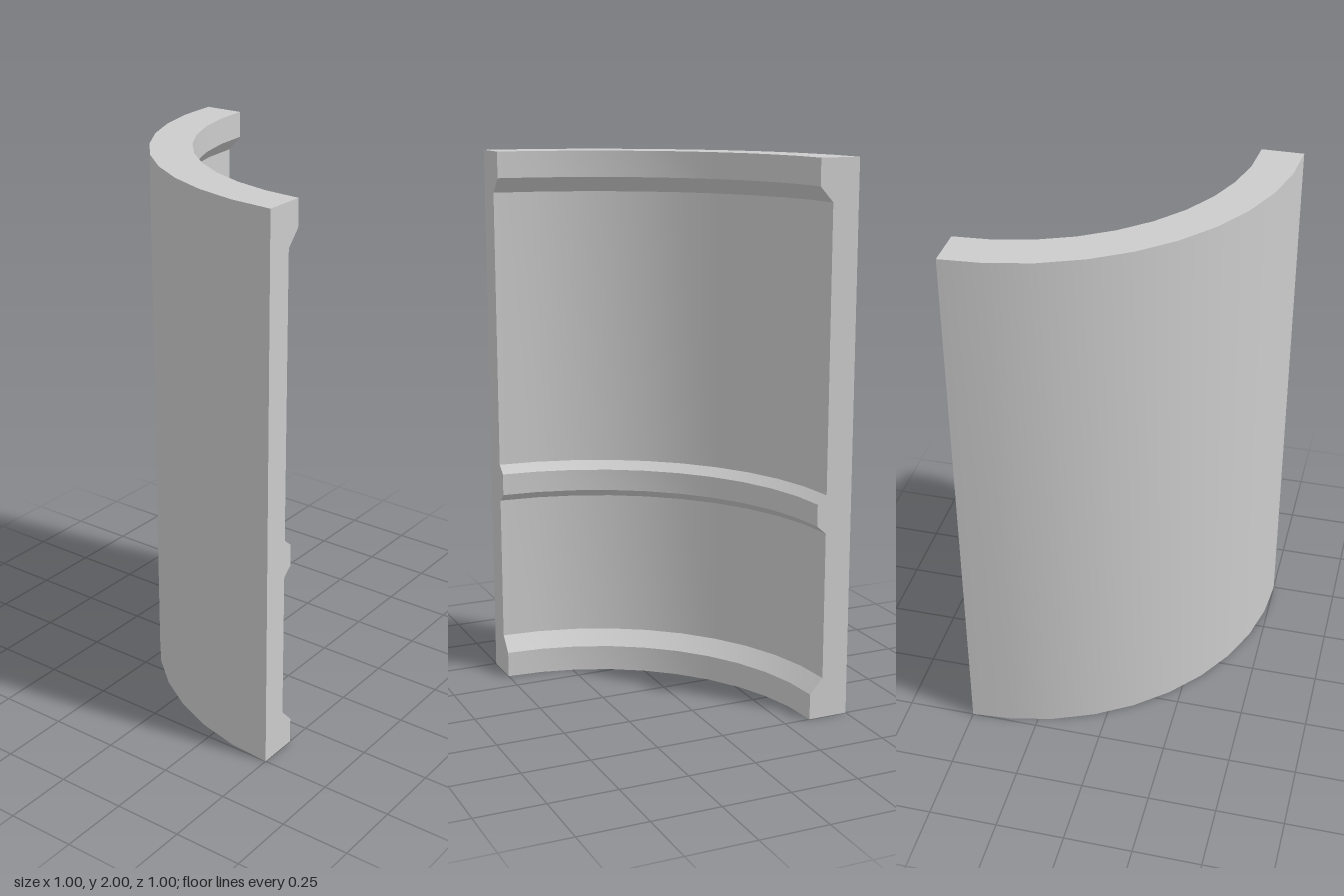
import * as THREE from 'three';
import { toCreasedNormals } from 'three/addons/utils/BufferGeometryUtils.js';

// Cross-section of the shell wall: [radius, height], outer face up, inner face down
const PROFILE = [
  [1, 0], [1, 2], [0.85, 2],
  [0.85, 1.905], [0.9, 1.85],                           // top lip
  [0.9, 0.83], [0.865, 0.8], [0.865, 0.72], [0.9, 0.69], // middle rib
  [0.9, 0.15], [0.85, 0.095],                           // bottom lip
  [0.85, 0],
];

export function createModel() {
  const model = new THREE.Group();
  model.name = 'quarterShell';
  const material = new THREE.MeshStandardMaterial({ color: 0xcccccc });

  const add = (name, geometry) => {
    const mesh = new THREE.Mesh(geometry, material);
    mesh.name = name;
    mesh.position.set(0.5, 0, 0.5); // axis of the quarter turn
    model.add(mesh);
  };

  // Curved wall with lips and rib, a quarter turn in ten steps
  const points = [...PROFILE, PROFILE[0]].map(([r, y]) => new THREE.Vector2(r, y));
  const wall = new THREE.LatheGeometry(points, 10, Math.PI, Math.PI / 2);
  add('curvedWall', toCreasedNormals(wall, Math.PI / 6));

  // Flat cut faces closing both ends of the quarter turn
  const section = (sign) => new THREE.ShapeGeometry(
    new THREE.Shape(PROFILE.map(([r, y]) => new THREE.Vector2(sign * r, y))));
  add('frontCutFace', section(-1));
  add('sideCutFace', section(1).rotateY(Math.PI / 2));

  return model;
}
